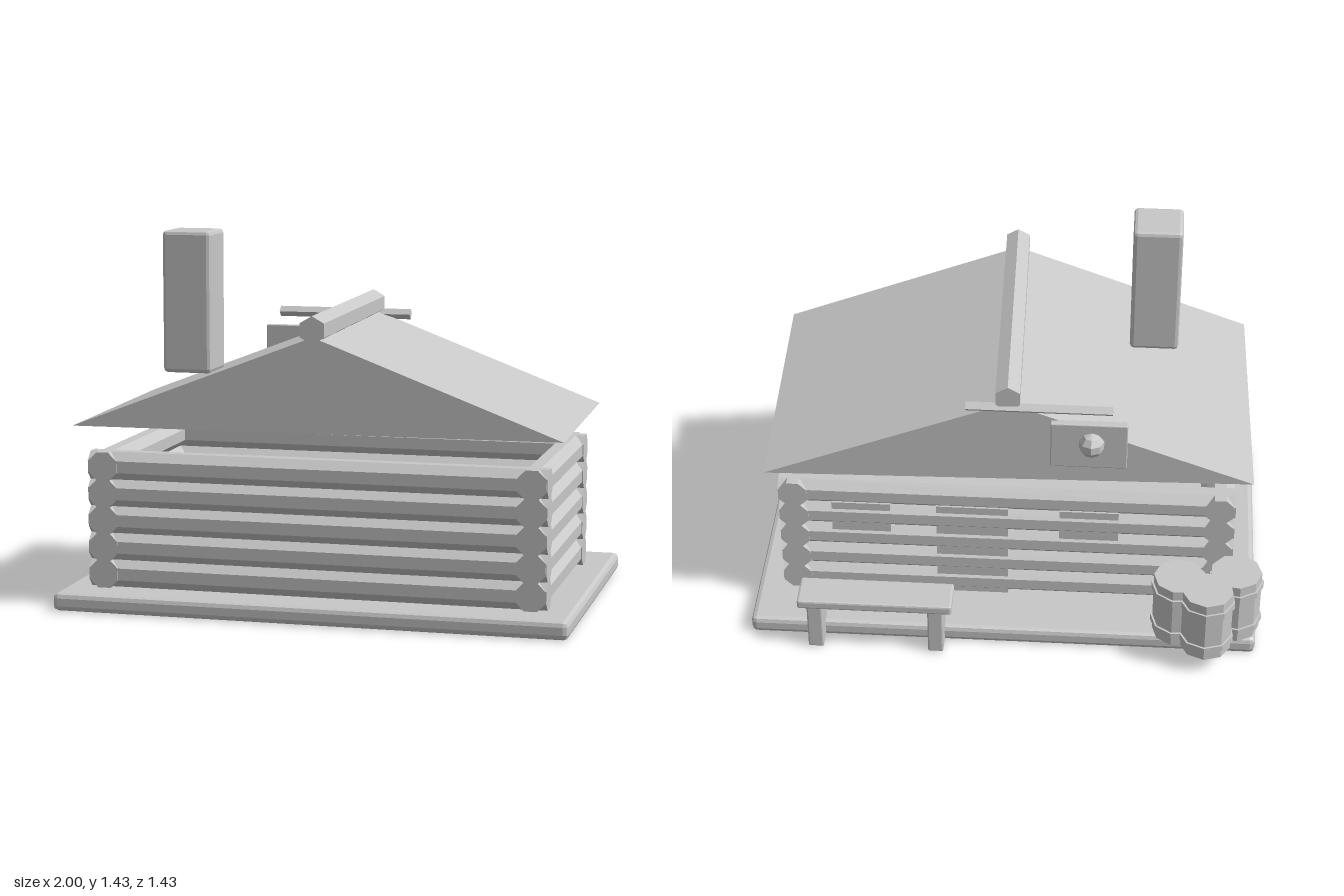
import * as THREE from 'three';
import { RoundedBoxGeometry } from 'three/addons/geometries/RoundedBoxGeometry.js';

export function createModel() {
  const model = new THREE.Group();
  model.name = 'logCabin';
  const grey = new THREE.MeshStandardMaterial({ color: 0xc8c8c8, flatShading: true });
  grey.name = 'plain grey';

  const add = (name, geometry, x, y, z, parent = model) => {
    const mesh = new THREE.Mesh(geometry, grey);
    mesh.name = name;
    mesh.position.set(x, y, z);
    parent.add(mesh);
    return mesh;
  };
  // Box given by its extents, with optional chamfered edges
  const box = (name, x0, x1, y0, y1, z0, z1, chamfer = 0, parent = model) => {
    const size = [x1 - x0, y1 - y0, z1 - z0];
    const geometry = chamfer
      ? new RoundedBoxGeometry(...size, 1, chamfer)
      : new THREE.BoxGeometry(...size);
    return add(name, geometry, (x0 + x1) / 2, (y0 + y1) / 2, (z0 + z1) / 2, parent);
  };
  const group = (name) => {
    const g = new THREE.Group();
    g.name = name;
    model.add(g);
    return g;
  };

  // Base slab
  box('baseSlab', -0.98, 1, 0, 0.07, -0.59, 0.71, 0.02);

  // Walls: five courses of octagonal logs crossing at the corners
  const walls = group('walls');
  const log = (length) =>
    new THREE.CylinderGeometry(0.06, 0.06, length, 8).rotateY(Math.PI / 8);
  const longLog = log(1.775).rotateZ(Math.PI / 2);
  const sideLog = log(0.955).rotateX(Math.PI / 2);
  for (let i = 0; i < 5; i++) {
    const y = 0.124 + i * 0.104;
    for (const z of [0.513, -0.325]) add('longLog', longLog, 0.008, y, z, walls);
    for (const x of [-0.82, 0.837]) add('sideLog', sideLog, x, y, 0.0925, walls);
  }

  // Door and windows set between the back logs
  box('door', 0, 0.28, 0.07, 0.5, -0.372, -0.362);
  box('leftWindow', 0.46, 0.69, 0.35, 0.5, -0.372, -0.362);
  box('rightWindow', -0.43, -0.2, 0.35, 0.5, -0.372, -0.362);

  // Roof: solid gable with ridge beam, turned slightly
  const roof = group('roof');
  roof.position.set(0.009, 0, 0.09);
  roof.rotation.y = 0.026;
  const gable = new THREE.Shape([
    new THREE.Vector2(-0.935, 0.706),
    new THREE.Vector2(0.935, 0.706),
    new THREE.Vector2(0, 1.065),
  ]);
  add('gableRoof', new THREE.ExtrudeGeometry(gable, { depth: 1.05, bevelEnabled: false }),
    0, 0, -0.525, roof);
  add('ridgeBeam', new THREE.CylinderGeometry(0.053, 0.053, 1.07, 6).rotateX(Math.PI / 2),
    0, 1.092, 0, roof);

  // Chimney
  box('chimney', -0.637, -0.445, 0.885, 1.43, 0.19, 0.38, 0.015);

  // Hanging board with its bar and boss
  const board = group('hangingBoard');
  add('bar', new THREE.CylinderGeometry(0.021, 0.021, 0.55, 4).rotateZ(Math.PI / 2),
    -0.122, 1.047, -0.435, board);
  box('plate', -0.455, -0.165, 0.79, 0.99, -0.453, -0.423, 0.004, board);
  add('boss', new THREE.SphereGeometry(0.05, 8, 5), -0.32, 0.905, -0.458, board);

  // Bench
  const bench = group('bench');
  box('seat', 0.2, 0.8, 0.205, 0.243, -0.67, -0.525, 0.008, bench);
  for (const x of [0.235, 0.705])
    box('benchLeg', x, x + 0.06, 0.004, 0.21, -0.66, -0.535, 0.006, bench);

  // Barrels with two hoops each
  const barrels = group('barrels');
  const barrelGeometry = new THREE.CylinderGeometry(0.1, 0.1, 0.272, 9);
  const hoopGeometry = new THREE.CylinderGeometry(0.108, 0.108, 0.027, 9);
  const spots = [[-0.783, -0.613, 0.3], [-0.675, -0.54, 0.1], [-0.892, -0.5, 0.5]];
  for (const [x, z, turn] of spots) {
    const barrel = new THREE.Group();
    barrel.name = 'barrel';
    barrel.position.set(x, 0, z);
    barrel.rotation.y = turn;
    barrels.add(barrel);
    add('barrelBody', barrelGeometry, 0, 0.207, 0, barrel);
    for (const y of [0.122, 0.288]) add('hoop', hoopGeometry, 0, y, 0, barrel);
  }

  return model;
}
